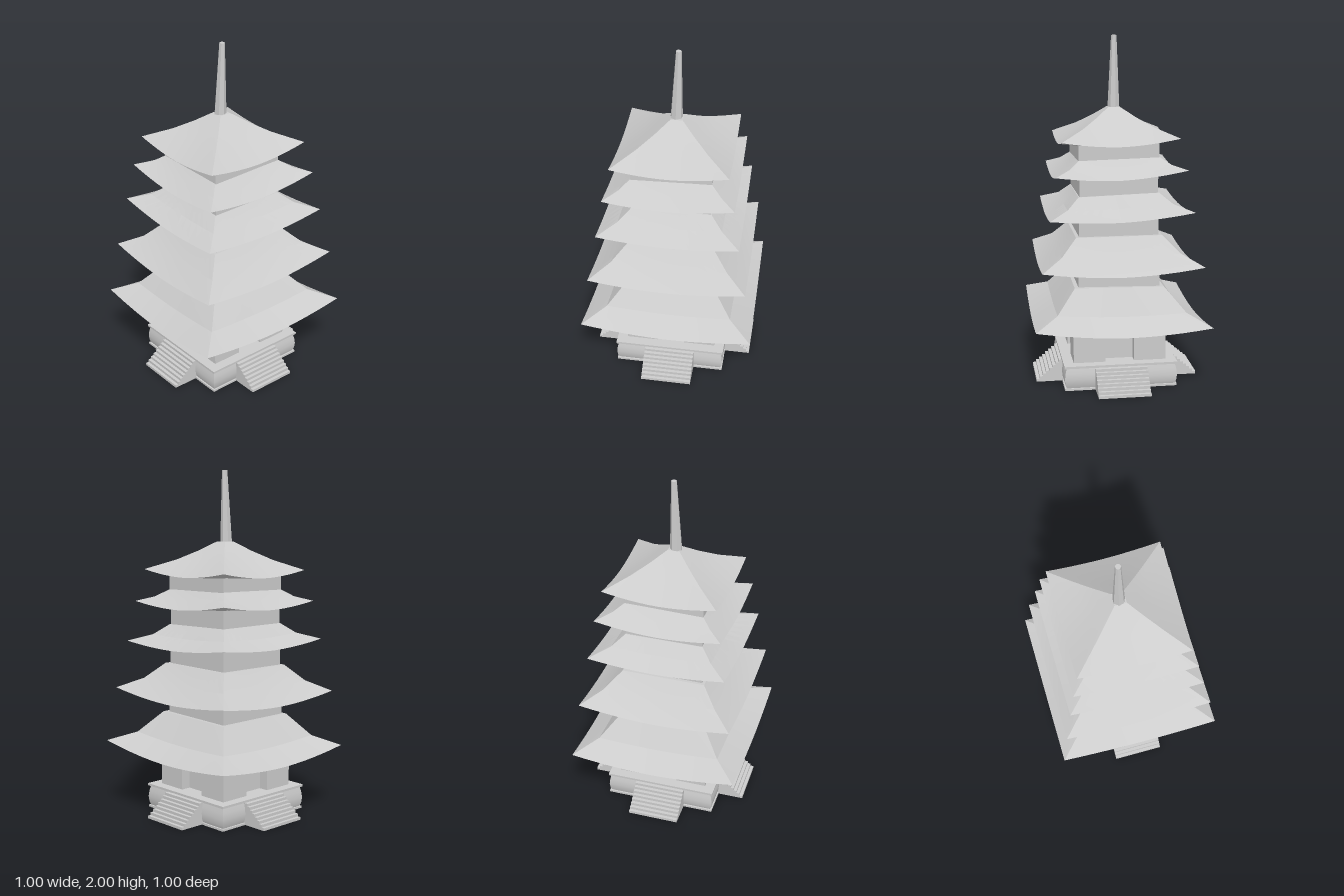
import * as THREE from 'three';
import { toCreasedNormals } from 'three/addons/utils/BufferGeometryUtils.js';

const material = new THREE.MeshStandardMaterial({ color: 0xcccccc });

function add(parent, name, geometry, x = 0, y = 0, z = 0) {
  const mesh = new THREE.Mesh(geometry, material);
  mesh.name = name;
  mesh.position.set(x, y, z);
  parent.add(mesh);
  return mesh;
}

// Lofts square rings [half width, height, corner lift] from top to bottom.
// skew makes the plan slightly uneven, tilt leans the whole piece.
function squareLoft(rings, { cols = 1, skew = 0, tilt = [0, 0] } = {}) {
  const R = Math.max(...rings.map(r => r[0]));
  const pos = [];
  const point = (side, [r, y, lift = 0], t) => {
    const a = side * Math.PI / 2;
    const x = r * (t * Math.cos(a) + Math.sin(a));
    const z = r * (Math.cos(a) - t * Math.sin(a));
    return [
      x * (1 - skew + skew * z / R),
      y + lift * Math.pow(Math.abs(t), 1.8) + tilt[0] * x + tilt[1] * z,
      z * (1 - skew + skew * x / R),
    ];
  };
  for (let side = 0; side < 4; side++) {
    for (let i = 0; i < rings.length - 1; i++) {
      for (let j = 0; j < cols; j++) {
        const t0 = -1 + 2 * j / cols, t1 = -1 + 2 * (j + 1) / cols;
        const a = point(side, rings[i], t0), b = point(side, rings[i], t1);
        const c = point(side, rings[i + 1], t0), d = point(side, rings[i + 1], t1);
        if (rings[i + 1][0] > 0) pos.push(...a, ...c, ...d);
        if (rings[i][0] > 0) pos.push(...a, ...d, ...b);
      }
    }
  }
  const geometry = new THREE.BufferGeometry();
  geometry.setAttribute('position', new THREE.Float32BufferAttribute(pos, 3));
  return toCreasedNormals(geometry, 0.3);
}

// Curved roof: slope profile, upturned corners and a nearly flat soffit
function roofGeometry({ profile, lift, tilt }) {
  const n = profile.length;
  const rings = profile.map(([r, y], i) =>
    [r, y, i === n - 1 ? lift : i === n - 2 ? lift * 0.35 : 0]);
  const [, eaveY] = profile[n - 1];
  rings.unshift([0, profile[0][1]]);
  rings.push([0.2, eaveY - 0.005], [0, eaveY - 0.005]);
  return squareLoft(rings, { cols: 12, skew: 0.013, tilt });
}

// Stepped block rising towards the platform
function stairGeometry(width, steps, inner, outer, height) {
  const shape = new THREE.Shape();
  const run = (outer - inner) / steps, rise = height / steps;
  shape.moveTo(inner - 0.03, 0);
  shape.lineTo(outer, 0);
  for (let i = 0; i < steps; i++) {
    shape.lineTo(outer - i * run, (i + 1) * rise);
    shape.lineTo(outer - (i + 1) * run, (i + 1) * rise);
  }
  shape.lineTo(inner - 0.03, height);
  shape.closePath();
  const g = new THREE.ExtrudeGeometry(shape, { depth: width, bevelEnabled: false });
  return g.translate(0, 0, -width / 2);
}

export function createModel() {
  const model = new THREE.Group();
  model.name = 'pagoda';

  // Stone platform with a lip and softly bulging sides
  add(model, 'platform', squareLoft([
    [0, 0.145], [0.328, 0.145], [0.328, 0.132], [0.315, 0.13], [0.322, 0.1],
    [0.326, 0.065], [0.322, 0.03], [0.315, 0.012], [0.325, 0.012], [0.325, 0], [0, 0],
  ]));

  // A staircase on each side
  const stair = stairGeometry(0.3, 8, 0.325, 0.475, 0.128);
  for (let i = 0; i < 4; i++) add(model, 'staircase', stair).rotation.y = i * Math.PI / 2;

  // Ground storey: recessed core between four corner blocks
  add(model, 'groundCore', new THREE.BoxGeometry(0.42, 0.23, 0.42), 0, 0.25, 0);
  const block = new THREE.BoxGeometry(0.185, 0.23, 0.185);
  for (const sx of [-1, 1])
    for (const sz of [-1, 1]) add(model, 'cornerBlock', block, sx * 0.176, 0.25, sz * 0.176);

  // Upper storeys: [half width, bottom, top]
  const storeys = [
    [0.235, 0.56, 0.71], [0.228, 0.85, 1.01], [0.225, 1.09, 1.23], [0.23, 1.28, 1.42],
  ];
  for (const [r, y0, y1] of storeys)
    add(model, 'storeyWall', new THREE.BoxGeometry(2 * r, y1 - y0, 2 * r), 0, (y0 + y1) / 2, 0);

  // Five roofs, profiles run from the top edge down to the eave
  const roofs = [
    { profile: [[0.26, 0.582], [0.37, 0.44], [0.5, 0.356]], lift: 0.042, tilt: [0, 0.02] },
    { profile: [[0.25, 0.875], [0.34, 0.77], [0.457, 0.685]], lift: 0.038, tilt: [0.015, 0] },
    { profile: [[0.232, 1.113], [0.3, 1.045], [0.408, 0.988]], lift: 0.03, tilt: [0.01, -0.03] },
    { profile: [[0.232, 1.315], [0.29, 1.262], [0.372, 1.212]], lift: 0.035, tilt: [0.025, -0.03] },
    { profile: [[0.035, 1.592], [0.11, 1.54], [0.2, 1.475], [0.333, 1.395]], lift: 0.035, tilt: [0.02, -0.015] },
  ];
  roofs.forEach(r => add(model, 'roof', roofGeometry(r)));

  // Tapered faceted spire with a blunt tip, leaning slightly
  const spire = toCreasedNormals(new THREE.CylinderGeometry(0.016, 0.036, 0.43, 7), 0.3);
  const p = spire.attributes.position;
  for (let i = 0; i < p.count; i++) p.setX(i, p.getX(i) + 0.03 * p.getY(i));
  add(model, 'spire', spire, 0, 1.785, -0.003);

  return model;
}
